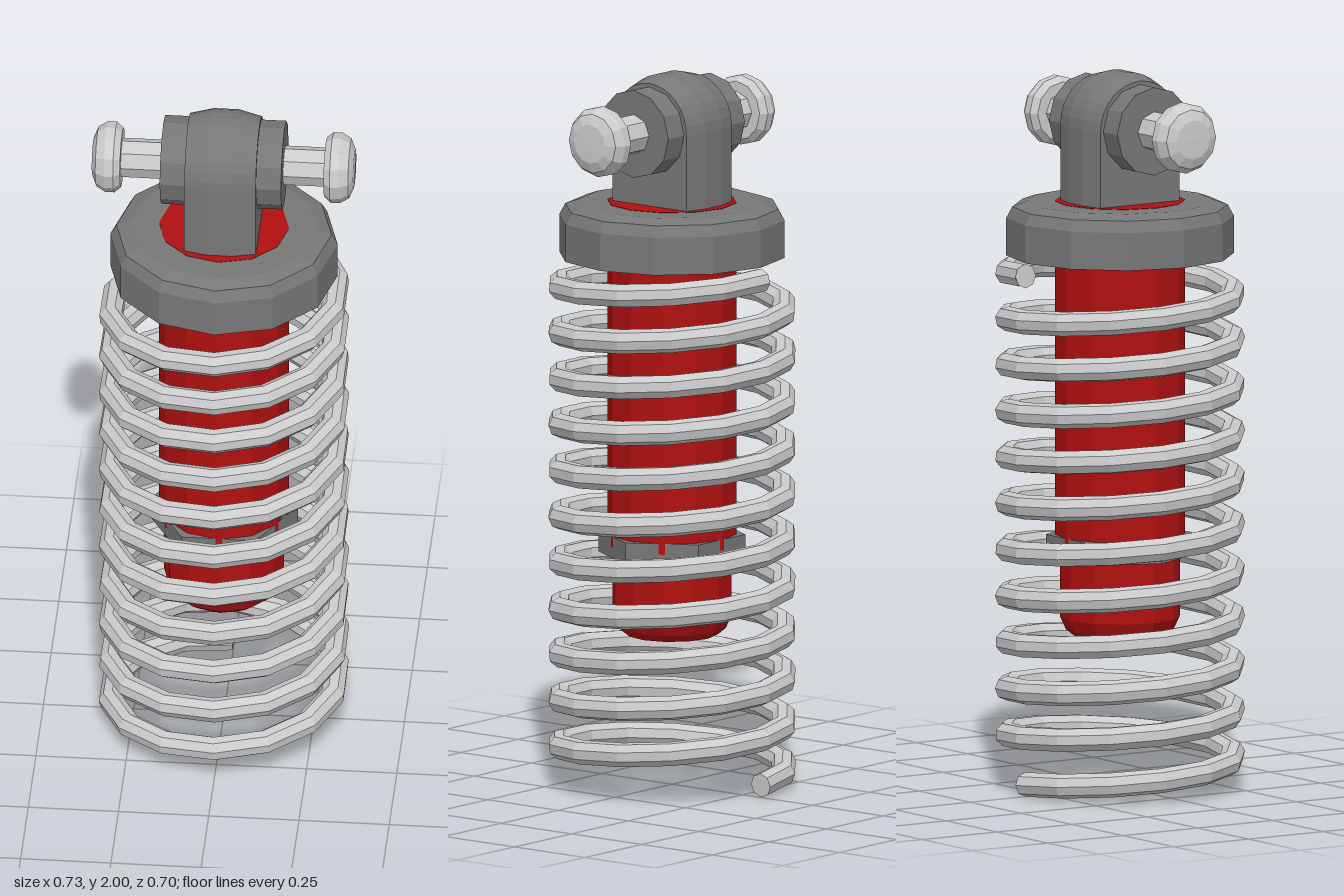
import * as THREE from 'three';

const grey = new THREE.MeshStandardMaterial({ color: 0xcccccc, flatShading: true });
const darkGrey = new THREE.MeshStandardMaterial({ color: 0x777777, flatShading: true });
const red = new THREE.MeshStandardMaterial({ color: 0xb01010, flatShading: true });

const PIN_Y = 1.853;

function add(parent, name, geometry, material) {
  const mesh = new THREE.Mesh(geometry, material);
  mesh.name = name;
  parent.add(mesh);
  return mesh;
}

// Faceted solid of revolution from [radius, height] pairs, bottom to top
function turned(profile, sides) {
  return new THREE.LatheGeometry(profile.map(([r, y]) => new THREE.Vector2(r, y)), sides);
}

// Helix rising from the back, by way of -x, to the front
class Helix extends THREE.Curve {
  constructor(radius, bottom, pitch, turns) {
    super();
    Object.assign(this, { radius, bottom, pitch, turns });
  }
  getPoint(t, target = new THREE.Vector3()) {
    const a = t * this.turns * Math.PI * 2;
    return target.set(
      -this.radius * Math.sin(a),
      this.bottom + t * this.turns * this.pitch,
      -this.radius * Math.cos(a)
    );
  }
}

function createSpring() {
  const spring = new THREE.Group();
  spring.name = 'spring';
  const wire = 0.034;
  const helix = new Helix(0.315, 0.036, 0.129, 11);
  add(spring, 'coil', new THREE.TubeGeometry(helix, 154, wire, 8), grey);

  // Discs closing the two wire ends
  for (const t of [0, 1]) {
    const cap = add(spring, 'wireEnd', new THREE.CircleGeometry(wire, 8), grey);
    const end = helix.getPoint(t);
    const outward = helix.getTangent(t).multiplyScalar(t ? 1 : -1);
    cap.position.copy(end);
    cap.lookAt(end.clone().add(outward));
  }
  return spring;
}

function createDamper() {
  const damper = new THREE.Group();
  damper.name = 'damper';
  add(damper, 'damperBody', turned([[0, 0.68], [0.18, 0.68], [0.18, 1.641], [0, 1.641]], 12), red);
  add(damper, 'lowerBody', turned(
    [[0, 0.425], [0.125, 0.425], [0.15, 0.445], [0.166, 0.48], [0.166, 0.69], [0, 0.69]], 12), red);

  // Hexagonal nut with corners on the x axis
  const nut = add(damper, 'hexNut', new THREE.CylinderGeometry(0.205, 0.205, 0.06, 6), darkGrey);
  nut.position.y = 0.68;
  nut.rotation.y = Math.PI / 6;
  return damper;
}

function createMount() {
  const mount = new THREE.Group();
  mount.name = 'topMount';
  add(mount, 'springSeat', turned(
    [[0, 1.49], [0.315, 1.49], [0.315, 1.595], [0.298, 1.626], [0.258, 1.64], [0, 1.64]], 12), darkGrey);

  // Round-topped lug, its sides bevelled towards +x and -x
  const r = 0.148;
  const outline = new THREE.Shape();
  outline.moveTo(-r, 1.6);
  outline.lineTo(r, 1.6);
  outline.lineTo(r, PIN_Y);
  outline.absarc(0, PIN_Y, r, 0, Math.PI, false);
  outline.closePath();
  const lug = new THREE.ExtrudeGeometry(outline, {
    depth: 0.07, curveSegments: 8,
    bevelThickness: 0.064, bevelSize: 0.016, bevelOffset: -0.016, bevelSegments: 1
  });
  lug.translate(0, 0, -0.035).rotateY(Math.PI / 2);
  add(mount, 'lug', lug, darkGrey);

  // Cross pin: bushing, rod and a rounded head at each end
  const pin = new THREE.Group();
  pin.name = 'crossPin';
  pin.position.y = PIN_Y;
  mount.add(pin);
  const bushing = new THREE.CylinderGeometry(0.123, 0.123, 0.336, 12).rotateZ(Math.PI / 2);
  add(pin, 'bushing', bushing, darkGrey);
  const rod = new THREE.CylinderGeometry(0.055, 0.055, 0.6, 8).rotateZ(Math.PI / 2);
  add(pin, 'rod', rod, grey);
  for (const side of [-1, 1]) {
    const head = turned(
      [[0, 0.282], [0.083, 0.282], [0.098, 0.3], [0.098, 0.325], [0.083, 0.35], [0.055, 0.362], [0, 0.364]], 12);
    head.rotateZ(-side * Math.PI / 2);
    add(pin, side > 0 ? 'leftHead' : 'rightHead', head, grey);
  }
  return mount;
}

export function createModel() {
  const model = new THREE.Group();
  model.name = 'shockAbsorber';
  model.add(createSpring(), createDamper(), createMount());
  return model;
}
